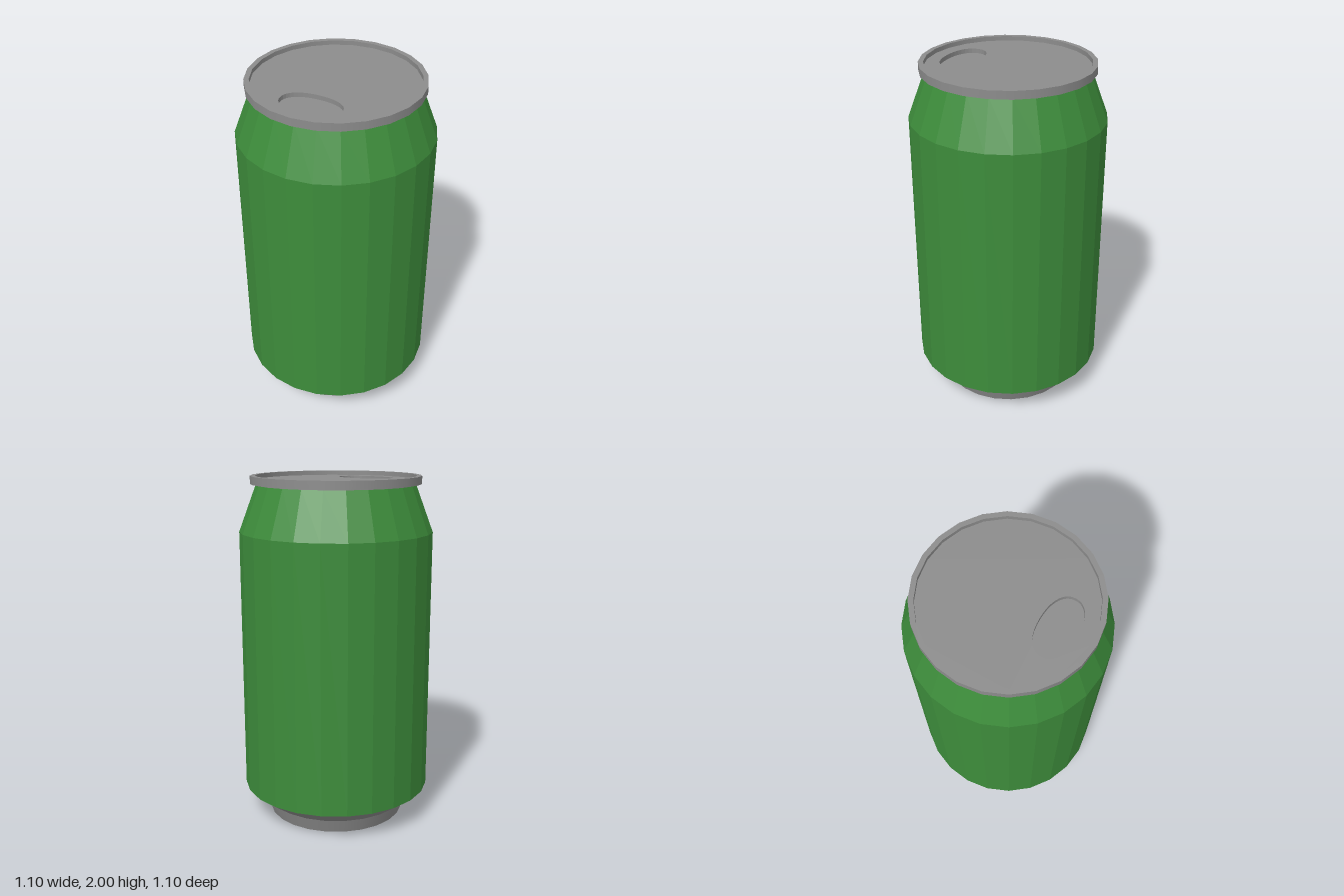
import * as THREE from 'three';

const SIDES = 24;
const green = new THREE.MeshStandardMaterial({ color: 0x3d8c3b, side: THREE.DoubleSide });
green.name = 'green paint';
const metal = new THREE.MeshStandardMaterial({ color: 0x8c8c8c, side: THREE.DoubleSide });
metal.name = 'bare metal';

// Ring of wall turned about the y axis, from [radius, height] pairs
function band(name, points, material, faceted = false) {
  let geometry = new THREE.LatheGeometry(points.map(([r, y]) => new THREE.Vector2(r, y)), SIDES);
  if (faceted) {
    geometry = geometry.toNonIndexed();
    geometry.computeVertexNormals();
  }
  const mesh = new THREE.Mesh(geometry, material);
  mesh.name = name;
  return mesh;
}

// Closed oval outline; power below 1 squares it off a little
function oval(rx, ry, cy, count, power = 1) {
  const soften = (v) => Math.sign(v) * Math.abs(v) ** power;
  return Array.from({ length: count }, (_, i) => {
    const a = (i / count) * Math.PI * 2;
    return new THREE.Vector2(rx * soften(Math.cos(a)), cy + ry * soften(Math.sin(a)));
  });
}

export function createModel() {
  const can = new THREE.Group();
  can.name = 'can';

  // Open foot and flared base
  can.add(band('foot', [[0.4, 0], [0.425, 0.08]], metal));
  can.add(band('baseFlare', [[0.425, 0.08], [0.55, 0.17]], metal));

  // Painted wall and tapered neck
  can.add(band('body', [[0.55, 0.17], [0.55, 1.69]], green, true));
  can.add(band('neck', [[0.55, 1.69], [0.45, 1.955]], green, true));

  // Rim: underside, outer edge, flat top, inner edge
  const rim = new THREE.Group();
  rim.name = 'rim';
  rim.add(
    band('rimUnderside', [[0.45, 1.955], [0.483, 1.955]], metal),
    band('rimEdge', [[0.483, 1.955], [0.483, 2]], metal),
    band('rimTop', [[0.483, 2], [0.455, 2]], metal),
    band('rimInside', [[0.455, 2], [0.455, 1.975]], metal),
  );
  can.add(rim);

  // Sunken lid with the mouth pressed into it
  const mouth = oval(0.175, 0.102, -0.278, 36, 0.9);
  const lidShape = new THREE.Shape(oval(0.455, 0.455, 0, SIDES));
  lidShape.holes.push(new THREE.Path(mouth));
  const lid = new THREE.Mesh(
    new THREE.ExtrudeGeometry(lidShape, { depth: 0.025, bevelEnabled: false }), metal);
  lid.name = 'lid';
  lid.rotation.x = -Math.PI / 2;
  lid.position.y = 1.95;

  const mouthFloor = new THREE.Mesh(new THREE.ShapeGeometry(new THREE.Shape(mouth)), metal);
  mouthFloor.name = 'mouthFloor';
  mouthFloor.rotation.x = -Math.PI / 2;
  mouthFloor.position.y = 1.95;
  can.add(lid, mouthFloor);

  return can;
}
